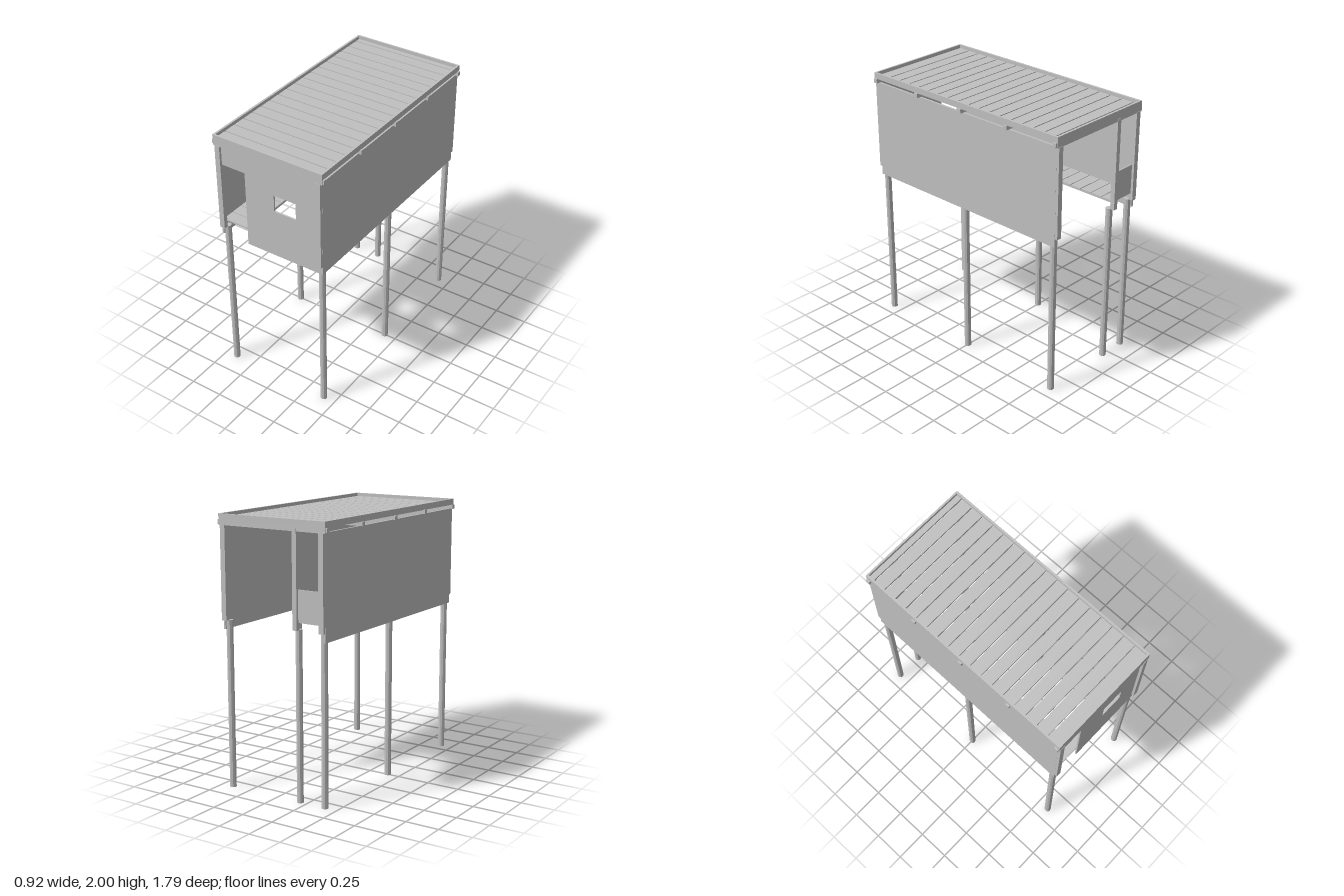
import * as THREE from 'three';

export function createModel() {
  const model = new THREE.Group();
  const grey = new THREE.MeshStandardMaterial({ color: 0xc0c0c0 });
  grey.name = 'pale grey';

  const add = (name, geometry, x = 0, y = 0, z = 0) => {
    const mesh = new THREE.Mesh(geometry, grey);
    mesh.name = name;
    mesh.position.set(x, y, z);
    model.add(mesh);
    return mesh;
  };
  // Box given by its limits on each axis
  const slab = (name, x0, x1, y0, y1, z0, z1) =>
    add(name, new THREE.BoxGeometry(x1 - x0, y1 - y0, z1 - z0),
      (x0 + x1) / 2, (y0 + y1) / 2, (z0 + z1) / 2);

  // Legs: three on each side and one beside the rear panel
  const legs = [[-0.195, -0.84]];
  for (const x of [-0.405, 0.405]) for (const z of [-0.84, 0, 0.84]) legs.push([x, z]);
  for (const [x, z] of legs) {
    const leg = new THREE.CylinderGeometry(0.025, 0.025, 1.245, 10).toNonIndexed();
    leg.computeVertexNormals();
    add('leg', leg, x, 0.6225, z);
  }

  // Side walls and corner posts
  for (const s of [-1, 1]) {
    const a = s * 0.425;
    slab('sideWall', a - 0.008, a + 0.008, 1.18, 1.925, -0.872, 0.872);
    for (const e of [-1, 1]) {
      slab('cornerPost', s * 0.4125 - 0.02, s * 0.4125 + 0.02, 1.245, 1.925,
        e * 0.877 - 0.017, e * 0.877 + 0.017);
    }
  }
  slab('rearPost', -0.215, -0.18, 1.245, 1.94, -0.895, -0.86);

  // Front wall: doorway cut into the lower corner, and a window
  const wall = new THREE.Shape([
    [-0.2, 1.18], [0.43, 1.18], [0.43, 1.925], [-0.43, 1.925],
    [-0.43, 1.77], [-0.2, 1.77],
  ].map(([x, y]) => new THREE.Vector2(x, y)));
  wall.holes.push(new THREE.Path([
    [0.04, 1.55], [0.04, 1.68], [0.22, 1.68], [0.22, 1.55],
  ].map(([x, y]) => new THREE.Vector2(x, y))));
  add('frontWall', new THREE.ExtrudeGeometry(wall, { depth: 0.012, bevelEnabled: false }), 0, 0, 0.863);

  // Rear balustrade panel
  slab('rearPanel', -0.42, -0.2, 1.3, 1.525, -0.875, -0.863);

  // Floor: plank walkway along one side and across the front
  for (let i = 0; i < 18; i++) {
    const z1 = 0.863 - i * 0.096;
    slab('floorPlank', -0.417, i < 2 ? 0.417 : -0.195, 1.293, 1.307, z1 - 0.09, z1);
  }
  slab('floorEdge', -0.205, -0.195, 1.288, 1.3, -0.86, 0.67);
  slab('floorEdge', -0.205, 0.417, 1.288, 1.3, 0.67, 0.68);

  // Roof beams with projecting ends
  for (let i = -2; i <= 2; i++) {
    slab('roofBeam', -0.458, 0.458, 1.925, 1.957, i * 0.435 - 0.015, i * 0.435 + 0.015);
  }

  // Roof rim
  for (const s of [-1, 1]) {
    slab('sideFascia', s * 0.438 - 0.008, s * 0.438 + 0.008, 1.955, 2, -0.89, 0.89);
    slab('endFascia', -0.446, 0.446, 1.92, 2, s * 0.884 - 0.007, s * 0.884 + 0.007);
  }

  // Roof planks, the last one cut short at the back
  for (let i = 0; i < 18; i++) {
    const z1 = 0.873 - i * 0.1005;
    slab('roofPlank', -0.43, 0.43, 1.957, 1.975, Math.max(z1 - 0.091, -0.878), z1);
  }

  // Hanging lamp
  slab('lamp', -0.33, -0.285, 1.69, 1.745, 0.567, 0.612);
  slab('lampRod', -0.31, -0.305, 1.745, 1.957, 0.587, 0.592);

  return model;
}
